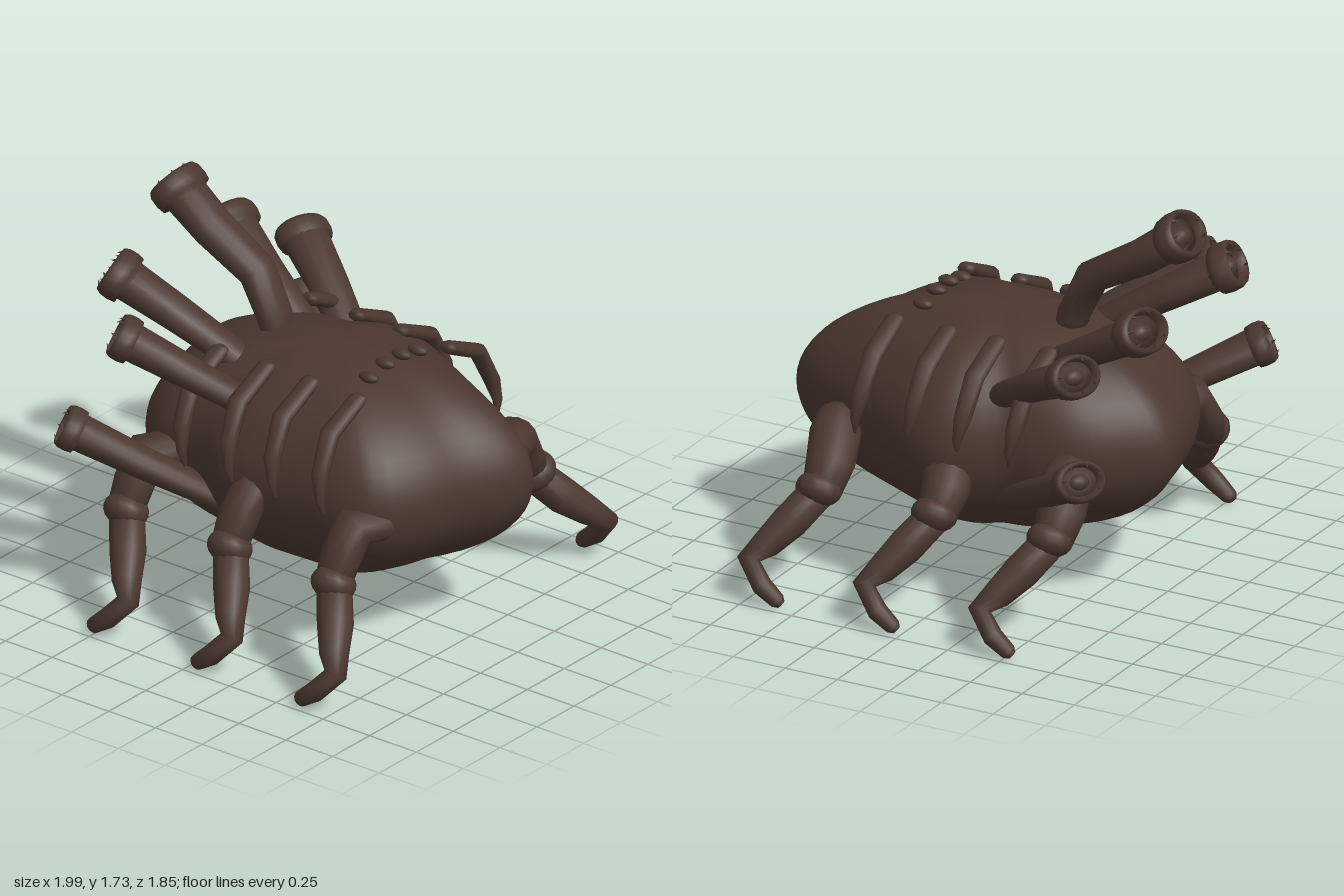
import * as THREE from 'three';
import { mergeVertices } from 'three/addons/utils/BufferGeometryUtils.js';

const brown = new THREE.MeshStandardMaterial({ color: 0x4a372f });
brown.name = 'dark brown';
const V = (x, y, z) => new THREE.Vector3(x, y, z);

function mesh(name, geometry) {
  const m = new THREE.Mesh(geometry, brown);
  m.name = name;
  return m;
}

// Closed skin over oval rings [x, y, z, radiusSide, radiusUp]
function loft(rows, sides = 14) {
  const c = rows.map(r => V(r[0], r[1], r[2]));
  const pos = [], idx = [];
  let s = null;
  const n = rows.length;
  for (let i = 0; i < n; i++) {
    const t = V(0, 0, 0);
    if (i > 0) t.add(c[i].clone().sub(c[i - 1]).normalize());
    if (i < n - 1) t.add(c[i + 1].clone().sub(c[i]).normalize());
    t.normalize();
    s = s ? s.addScaledVector(t, -s.dot(t)).normalize() : t.clone().cross(V(0, 1, 0)).normalize();
    const u = s.clone().cross(t);
    for (let j = 0; j < sides; j++) {
      const a = j / sides * Math.PI * 2;
      const p = c[i].clone()
        .addScaledVector(s, Math.cos(a) * rows[i][3])
        .addScaledVector(u, Math.sin(a) * (rows[i][4] ?? rows[i][3]));
      pos.push(p.x, p.y, p.z);
      const k = i * sides + j, k1 = i * sides + (j + 1) % sides;
      if (i < n - 1) idx.push(k, k + sides, k1, k1, k + sides, k1 + sides);
      if (i === 0) idx.push(n * sides, k, k1);
      if (i === n - 1) idx.push(n * sides + 1, k1, k);
    }
  }
  pos.push(...c[0].toArray(), ...c[n - 1].toArray());
  const g = new THREE.BufferGeometry();
  g.setAttribute('position', new THREE.Float32BufferAttribute(pos, 3));
  g.setIndex(idx);
  g.computeVertexNormals();
  return g;
}

// Lobed body: a sphere whose meridians follow a lopsided ground plan
function makeBody() {
  const plan = new THREE.CatmullRomCurve3([
    [-0.575, 0.1], [-0.565, 0.3], [-0.56, 0.48], [-0.5, 0.64], [-0.3, 0.765], [-0.1, 0.825],
    [0.07, 0.91], [0.2, 0.925], [0.28, 0.83], [0.35, 0.7], [0.45, 0.5], [0.54, 0.32], [0.62, 0.14],
    [0.63, 0], [0.57, -0.13], [0.5, -0.25], [0.485, -0.38], [0.43, -0.56], [0.3, -0.72], [0.15, -0.845],
    [-0.02, -0.82], [-0.22, -0.77], [-0.38, -0.69], [-0.46, -0.58], [-0.475, -0.45], [-0.5, -0.32],
    [-0.56, -0.18], [-0.58, -0.04],
  ].map(([x, z]) => V(x, 0, z)), true);
  const cols = 84;
  const g = new THREE.SphereGeometry(1, cols, 32);
  const p = g.attributes.position;
  for (let i = 0; i < p.count; i++) {
    const q = plan.getPoint(i % (cols + 1) % cols / cols);
    const y = p.getY(i), r = Math.sqrt(Math.max(0, 1 - y * y));
    p.setXYZ(i, q.x * r, 0.695 + 0.487 * y, 0.04 + (q.z - 0.04) * r);
  }
  g.deleteAttribute('uv');
  g.deleteAttribute('normal');
  const body = mergeVertices(g);
  body.computeVertexNormals();
  return mesh('body', body);
}

function makeLeg(side, dz) {
  const leg = new THREE.Group();
  leg.name = 'leg';
  const at = rows => rows.map(([x, y, z, a, b]) => [x * side, y, z + dz, a, b]);
  leg.add(mesh('upperLeg', loft(at([
    [0.34, 0.66, 0.66, 0.04, 0.04], [0.42, 0.66, 0.61, 0.09, 0.08],
    [0.53, 0.66, 0.55, 0.11, 0.09], [0.6, 0.55, 0.535, 0.105, 0.08], [0.67, 0.44, 0.54, 0.085, 0.075],
  ]))));
  const knee = mesh('knee', new THREE.SphereGeometry(0.1, 16, 10));
  knee.scale.set(1, 0.75, 1);
  knee.position.set(0.675 * side, 0.45, 0.55 + dz);
  knee.rotation.z = 0.5 * side;
  leg.add(knee);
  leg.add(mesh('lowerLeg', loft(at([
    [0.67, 0.44, 0.55, 0.075], [0.77, 0.32, 0.635, 0.078], [0.86, 0.235, 0.7, 0.063],
    [0.918, 0.178, 0.752, 0.05], [0.952, 0.085, 0.668, 0.045], [0.95, 0.03, 0.595, 0.035], [0.945, 0.016, 0.58, 0.02],
  ]))));
  return leg;
}

// Curved shell band hugging one flank
function makeRib(side, z) {
  return mesh('rib', loft([
    [0.29, 1.125, 0, 0.034, 0.022], [0.31, 1.12, 0, 0.042, 0.03], [0.5, 1.03, 0, 0.047, 0.034],
    [0.58, 0.87, 0.012, 0.04, 0.034], [0.6, 0.77, 0.028, 0.02, 0.024], [0.585, 0.7, 0.035, 0.007, 0.01],
  ].map(([x, y, dz, a, b]) => [x * side, y, z + dz, a, b]), 10));
}

// Flared tube ending in a toothed, hollow mouth
function makeSpout(points, size) {
  const g = new THREE.Group();
  g.name = 'spout';
  const n = points.length;
  g.add(mesh('spoutShaft', loft(points.map((p, i) => {
    const r = (0.08 + 0.032 * i / (n - 1)) * (size + 1) / 2;
    return [...p, r, r * 0.77];
  }), 16)));
  const tip = V(...points[n - 1]);
  const dir = tip.clone().sub(V(...points[n - 2])).normalize();
  const across = dir.clone().cross(V(0, 1, 0)).normalize();
  const head = new THREE.Group();
  head.name = 'mouth';
  head.position.copy(tip);
  head.quaternion.setFromRotationMatrix(new THREE.Matrix4().makeBasis(across, dir, across.clone().cross(dir)));
  head.scale.set(size, size, size * 0.77);
  const profile = [[0.1, -0.1], [0.118, -0.05], [0.138, -0.055], [0.145, -0.02], [0.142, 0.02],
    [0.128, 0.042], [0.108, 0.038], [0.098, 0.0], [0.09, -0.04], [0.0, -0.045]];
  head.add(mesh('collar', new THREE.LatheGeometry(profile.map(p => new THREE.Vector2(...p)), 24)));
  const dome = mesh('mouthDome', new THREE.SphereGeometry(0.065, 14, 8));
  dome.position.y = -0.03;
  head.add(dome);
  for (let i = 0; i < 7; i++) {
    const a = i / 7 * Math.PI * 2 + 0.2;
    const tooth = mesh('tooth', new THREE.ConeGeometry(0.014, 0.05, 6));
    tooth.position.set(Math.cos(a) * 0.105, 0.042, Math.sin(a) * 0.105);
    tooth.quaternion.setFromUnitVectors(V(0, 1, 0), V(-Math.cos(a), 1, -Math.sin(a)).normalize());
    head.add(tooth);
  }
  g.add(head);
  return g;
}

export function createModel() {
  const model = new THREE.Group();
  model.name = 'spoutedBeetle';
  model.add(makeBody());

  for (const side of [1, -1]) {
    for (const dz of [0, -0.555, -1.11]) model.add(makeLeg(side, dz));
    for (const z of [0.39, 0.135, -0.1, -0.35]) model.add(makeRib(side, z));
  }

  // Row of small eyes on the back
  for (const x of [-0.165, -0.055, 0.055, 0.165]) {
    const eye = mesh('eye', new THREE.SphereGeometry(1, 14, 10));
    eye.scale.set(0.029, 0.024, 0.048);
    eye.position.set(x, 1.185 - Math.abs(x) * 0.22, 0.335);
    model.add(eye);
  }

  // Seven spouts fanning over the rear
  const spouts = [
    [[[0, 1.08, -0.27], [0, 1.18, -0.3], [-0.005, 1.36, -0.385], [-0.01, 1.495, -0.62], [-0.01, 1.633, -0.81]], 0.98],
    [[[0.22, 1.03, -0.31], [0.285, 1.185, -0.58], [0.35, 1.33, -0.82]], 0.93],
    [[[-0.22, 1.06, -0.31], [-0.3, 1.215, -0.58], [-0.385, 1.36, -0.83]], 0.95],
    [[[0.39, 0.92, -0.17], [0.53, 1.075, -0.43], [0.645, 1.2, -0.66]], 0.86],
    [[[-0.38, 0.96, -0.12], [-0.53, 1.11, -0.37], [-0.655, 1.24, -0.59]], 0.86],
    [[[0.42, 0.48, -0.24], [0.66, 0.66, -0.54], [0.815, 0.81, -0.78]], 0.82],
    [[[-0.42, 0.5, -0.22], [-0.66, 0.69, -0.5], [-0.815, 0.83, -0.75]], 0.82],
  ];
  for (const [points, size] of spouts) model.add(makeSpout(points, size));
  return model;
}
